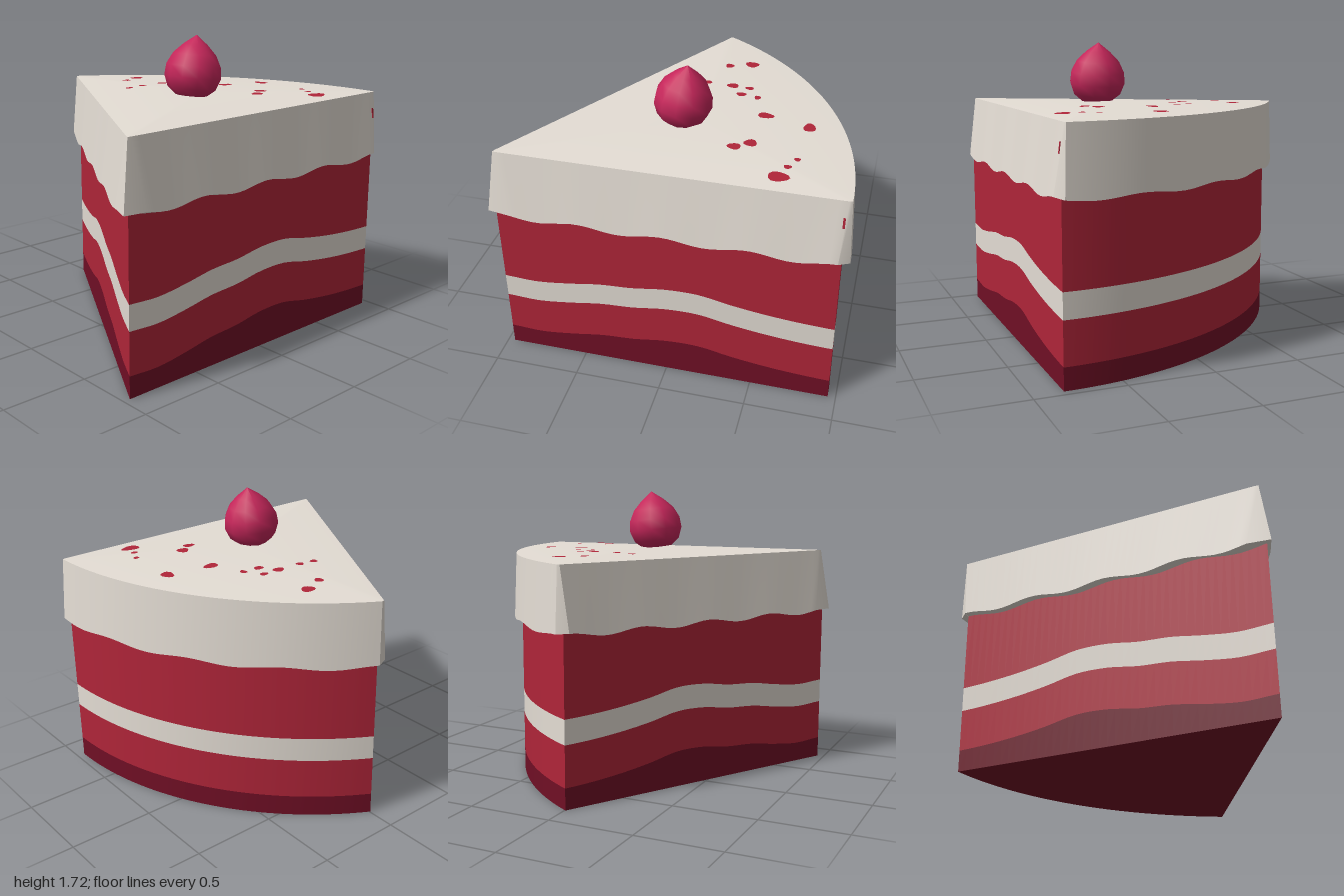
import * as THREE from 'three';
import { toCreasedNormals } from 'three/addons/utils/BufferGeometryUtils.js';

const mat = (name, color) => Object.assign(new THREE.MeshStandardMaterial({ color }), { name });
const N = 40;                      // samples per side
const APEX = [-0.96, 0.83];        // tip of the slice, centre of the round side

// Closed outline of the slice: front, round side, slanted side, tip.
function outline({ front, arc, slant, tip }) {
  const pts = [];
  const line = ([a, b]) => {
    for (let i = 0; i <= N; i++) {
      const t = i / N;
      pts.push([a[0] + (b[0] - a[0]) * t, a[1] + (b[1] - a[1]) * t]);
    }
  };
  line(front);
  const [p, q] = arc.map(([x, z]) => [
    Math.hypot(x - APEX[0], z - APEX[1]), Math.atan2(APEX[1] - z, x - APEX[0])]);
  for (let i = 0; i <= N; i++) {
    const r = p[0] + (q[0] - p[0]) * i / N, a = p[1] + (q[1] - p[1]) * i / N;
    pts.push([APEX[0] + r * Math.cos(a), APEX[1] - r * Math.sin(a)]);
  }
  line(slant);
  pts.push(tip);
  return pts;
}

// Give each outline point a height: a number or a function of (side, t).
const lift = (pts, y) => pts.map(([x, z], i) => {
  const side = Math.min(2, Math.floor(i / (N + 1)));
  const t = Math.min(1, (i - side * (N + 1)) / N);
  return new THREE.Vector3(x, typeof y === 'function' ? y(side, t) : y, z);
});

function surface(name, tris, material, crease = 0.6) {
  const pos = [];
  for (const [a, b, c] of tris) {
    const area = new THREE.Vector3().subVectors(b, a).cross(new THREE.Vector3().subVectors(c, a)).length();
    if (area > 1e-9) for (const v of [a, b, c]) pos.push(v.x, v.y, v.z);
  }
  const g = new THREE.BufferGeometry();
  g.setAttribute('position', new THREE.Float32BufferAttribute(pos, 3));
  const m = new THREE.Mesh(toCreasedNormals(g, crease), material);
  m.name = name;
  return m;
}

// Wall between two loops, facing outwards.
function wall(name, low, high, material) {
  const tris = low.flatMap((a, i) => {
    const j = (i + 1) % low.length;
    return [[a, low[j], high[j]], [a, high[j], high[i]]];
  });
  return surface(name, tris, material);
}

// Fan from a centre to a loop.
const fan = (name, c, loop, material, down = false) => surface(name, loop.map((a, i) => {
  const b = loop[(i + 1) % loop.length];
  return down ? [c, b, a] : [c, a, b];
}), material);

export function createModel() {
  const cream = mat('cream', 0xe4ddd4);
  const red = mat('red sponge', 0xb02539);
  const dark = mat('dark crust', 0x700f25);
  const pink = mat('berry pink', 0xc5265a);
  const cake = new THREE.Group();
  cake.name = 'cakeSlice';

  // Sponge layers, swelling in the middle of both cut faces
  const B = [0.955, 0.83], C = [-0.005, -0.83];
  const body = outline({ front: [APEX, B], arc: [B, C], slant: [C, APEX], tip: APEX });
  const swell = new THREE.SplineCurve(
    [0, -0.008, 0.014, 0.045, 0.058, 0.086, 0.088, 0.052, 0.025, 0.008, 0]
      .map((h, i) => new THREE.Vector2(i / 10, h)));
  const layer = base => lift(body, (side, t) =>
    base + (side === 1 ? 0 : swell.getPoint(side === 0 ? t : 1 - t).y));
  const levels = [lift(body, 0), layer(0.125), layer(0.368), layer(0.512), lift(body, 1.1)];
  [['crust', dark], ['lowerSponge', red], ['creamFilling', cream], ['upperSponge', red]]
    .forEach(([name, m], i) => cake.add(wall(name, levels[i], levels[i + 1], m)));
  cake.add(fan('underside', new THREE.Vector3(0, 0, 0.3), levels[0], dark, true));

  // Frosting: flared skirt with a wavy hem and a slightly domed top
  const hemLine = outline({
    front: [[-0.87, 0.866], [0.94, 0.866]], arc: [[1.0, 0.825], [0.02, -0.872]],
    slant: [[-0.05, -0.845], [-0.95, 0.72]], tip: [-1.0, 0.845],
  });
  const rimLine = outline({
    front: [[-0.925, 0.815], [0.965, 0.815]], arc: [[0.98, 0.81], [0.012, -0.862]],
    slant: [[-0.003, -0.86], [-0.935, 0.79]], tip: [-0.945, 0.812],
  });
  const wave = (side, t) => {
    const d = side === 2 ? (1 - t) * 1.91 : t * 1.91;
    return 0.974 + (side === 1 ? 0.009 : 0.014) * Math.cos((d - 0.41) * Math.PI * 4);
  };
  const hem = lift(hemLine, wave), rim = lift(rimLine, 1.355);
  const peak = new THREE.Vector3(0.06, 1.385, 0.27);
  cake.add(wall('frostingSkirt', hem, rim, cream));
  cake.add(wall('frostingHem', lift(body, wave), hem, cream));
  cake.add(fan('frostingTop', peak, rim, cream));

  // Height of the domed top at a point
  const topY = (x, z) => {
    let s = 0;
    rim.forEach((a, i) => {
      const b = rim[(i + 1) % rim.length];
      const nx = -(b.z - a.z), nz = b.x - a.x;
      const reach = nx * (a.x - peak.x) + nz * (a.z - peak.z);
      if (reach > 1e-6) s = Math.max(s, (nx * (x - peak.x) + nz * (z - peak.z)) / reach);
    });
    return 1.385 - 0.03 * s;
  };

  // Crumbs lying on the top: x, z, radius along x, radius along z
  const crumbs = [
    [0.21, -0.495, 0.042, 0.036], [0.08, -0.44, 0.026, 0.028], [-0.1, -0.197, 0.025, 0.02],
    [0, -0.19, 0.026, 0.022], [0.155, -0.183, 0.035, 0.029], [0.257, -0.178, 0.026, 0.02],
    [0.225, -0.09, 0.03, 0.024], [0.325, -0.077, 0.019, 0.024], [0.41, 0.117, 0.047, 0.032],
    [0.668, 0.177, 0.035, 0.045], [0.385, 0.43, 0.036, 0.036], [0.305, 0.483, 0.038, 0.029],
    [0.655, 0.52, 0.018, 0.017], [0.617, 0.602, 0.022, 0.018], [0.583, 0.697, 0.058, 0.042],
  ];
  crumbs.forEach(([x, z, rx, rz], k) => {
    const ring = Array.from({ length: 12 }, (_, i) => {
      const a = -i / 12 * Math.PI * 2, w = 1 + 0.09 * Math.sin(3 * a + k);
      const px = x + rx * w * Math.cos(a), pz = z - rz * w * Math.sin(a);
      return new THREE.Vector3(px, topY(px, pz) + 0.003, pz);
    }).reverse();
    cake.add(fan('crumb', new THREE.Vector3(x, topY(x, z) + 0.003, z), ring, red));
  });
  const sideCrumb = new THREE.Mesh(new THREE.BoxGeometry(0.012, 0.06, 0.008), red);
  sideCrumb.name = 'sideCrumb';
  sideCrumb.position.set(0.948, 1.23, 0.832);
  sideCrumb.rotation.x = -0.13;
  cake.add(sideCrumb);

  // Berry, leaning a little to one side
  const profile = [[0, 0], [0.09, 0.004], [0.14, 0.045], [0.164, 0.11], [0.158, 0.175],
    [0.125, 0.24], [0.07, 0.295], [0, 0.348]].map(p => new THREE.Vector2(...p));
  const berry = new THREE.Mesh(new THREE.LatheGeometry(profile, 11), pink);
  berry.name = 'berry';
  berry.position.set(-0.04, 1.378, 0.287);
  berry.rotation.z = -0.12;
  cake.add(berry);

  return cake;
}
